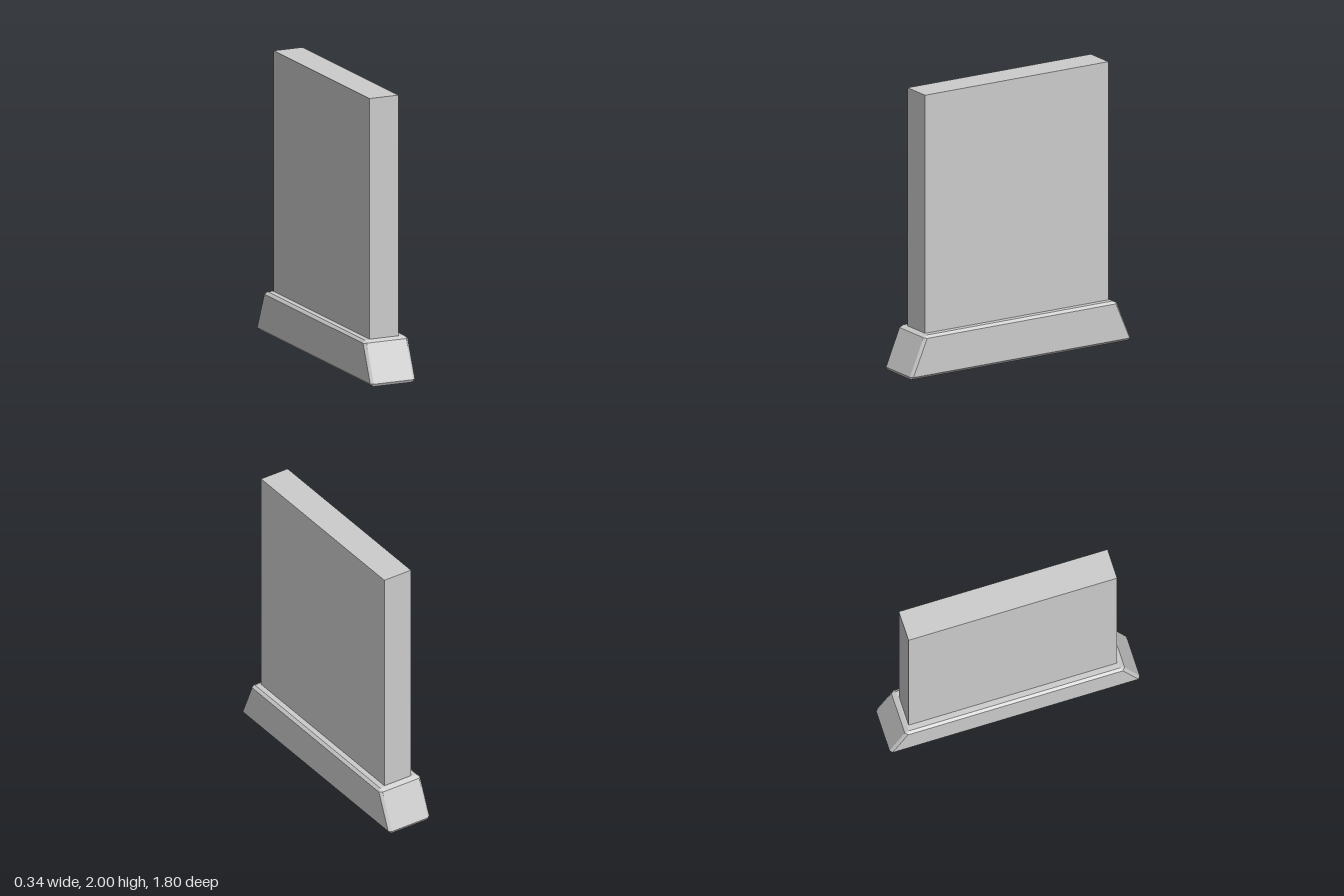
import * as THREE from 'three';
import { ConvexGeometry } from 'three/addons/geometries/ConvexGeometry.js';

export function createModel() {
  const group = new THREE.Group();
  const material = new THREE.MeshStandardMaterial({ color: 0xcccccc, flatShading: true });

  // Upright slab
  const panel = new THREE.Mesh(new THREE.BoxGeometry(0.22, 1.7, 1.5), material);
  panel.name = 'panel';
  panel.position.y = 1.15;
  group.add(panel);

  // Sloped-end foot with chamfered edges: [x, y, z], mirrored in x and z
  const corners = [
    // chamfered side profile
    [0.15, 0, 0.89], [0.15, 0.02, 0.9], [0.15, 0.285, 0.79], [0.15, 0.3, 0.76],
    // flat side face
    [0.17, 0.02, 0.885], [0.17, 0.282, 0.772],
  ];
  const points = [];
  for (const sx of [-1, 1]) {
    for (const sz of [-1, 1]) {
      for (const [x, y, z] of corners) points.push(new THREE.Vector3(x * sx, y, z * sz));
    }
  }
  const base = new THREE.Mesh(new ConvexGeometry(points), material);
  base.name = 'base';
  group.add(base);

  return group;
}
